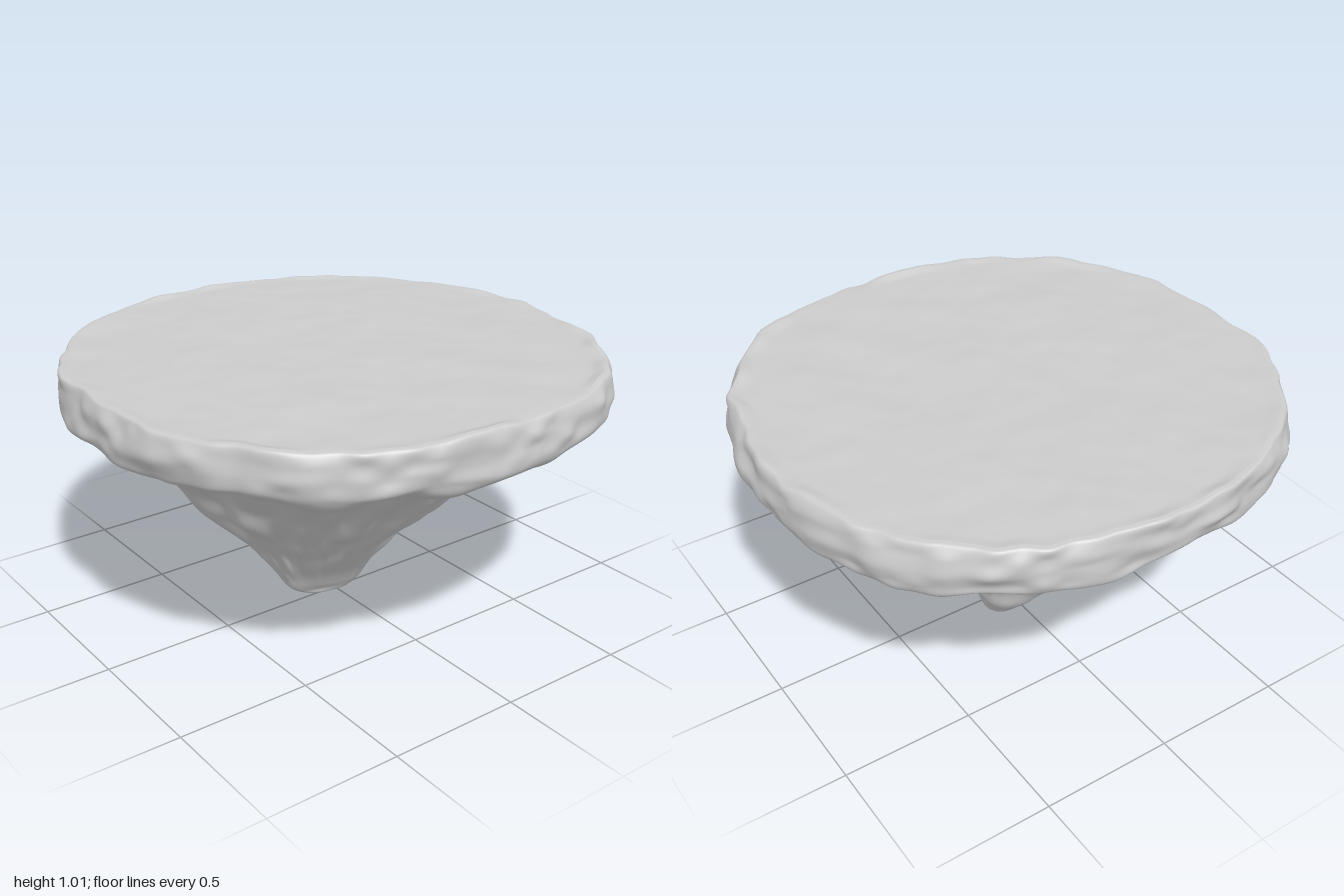
import * as THREE from 'three';

const material = new THREE.MeshStandardMaterial({ color: 0xcccccc });
const { lerp, smoothstep } = THREE.MathUtils;

// Seeded smooth value noise in -1..1; u repeats every `period` cells
const hash = (i, j, s) => {
  const h = Math.sin(i * 127.1 + j * 311.7 + s * 74.7) * 43758.5453;
  return (h - Math.floor(h)) * 2 - 1;
};
const ease = (t) => t * t * (3 - 2 * t);
function noise(u, v, seed, period = 1000) {
  const i = Math.floor(u), j = Math.floor(v), fu = ease(u - i), fv = ease(v - j);
  const at = (a, b) => hash(((a % period) + period) % period, b, seed);
  return lerp(lerp(at(i, j), at(i + 1, j), fu), lerp(at(i, j + 1), at(i + 1, j + 1), fu), fv);
}

// Closed-ring surface from point(t, angle)
function ringSurface(name, rings, sides, point) {
  const pos = [], index = [];
  for (let i = 0; i <= rings; i++)
    for (let j = 0; j < sides; j++) pos.push(...point(i / rings, (j / sides) * Math.PI * 2));
  for (let i = 0; i < rings; i++)
    for (let j = 0; j < sides; j++) {
      const a = i * sides + j, b = i * sides + ((j + 1) % sides), c = a + sides, d = b + sides;
      index.push(a, c, b, b, c, d);
    }
  const geometry = new THREE.BufferGeometry();
  geometry.setAttribute('position', new THREE.Float32BufferAttribute(pos, 3));
  geometry.setIndex(index);
  geometry.computeVertexNormals();
  const mesh = new THREE.Mesh(geometry, material);
  mesh.name = name;
  return mesh;
}

// Profile rows: height, then reach toward +x, -x, +z, -z
const profile = [
  [0, 0, 0, 0, 0],
  [0.01, 0.07, 0.11, 0.035, 0.06],
  [0.05, 0.125, 0.2, 0.07, 0.13],
  [0.12, 0.16, 0.25, 0.12, 0.21],
  [0.2, 0.195, 0.305, 0.185, 0.28],
  [0.3, 0.295, 0.38, 0.265, 0.36],
  [0.45, 0.445, 0.5, 0.4, 0.48],
  [0.6, 0.575, 0.635, 0.55, 0.605],
  [0.72, 0.69, 0.77, 0.7, 0.745],
  [0.785, 0.82, 0.87, 0.81, 0.855],
  [0.812, 0.925, 0.935, 0.905, 0.94],
  [0.845, 0.975, 0.975, 0.955, 0.97],
  [0.9, 0.987, 0.985, 0.97, 0.975],
  [0.96, 0.968, 0.978, 0.967, 0.972],
  [0.998, 0.945, 0.968, 0.955, 0.965],
  [1.004, 0.925, 0.948, 0.935, 0.945],
];
const curve = (x, z) =>
  new THREE.CatmullRomCurve3(profile.map((r) => new THREE.Vector3(r[x], r[0], r[z])), false, 'catmullrom', 0.5);
const positive = curve(1, 3), negative = curve(2, 4);

// Rock flank: downward ridges on the cone, short lumps on the rim
function flank(t, angle) {
  const p = positive.getPoint(t), n = negative.getPoint(t);
  const c = Math.cos(angle), s = Math.sin(angle), u = angle / (Math.PI * 2), y = p.y;
  const rim = smoothstep(y, 0.79, 0.86);
  const cone = smoothstep(y, 0.05, 0.5) * (1 - rim);
  const ridges = 0.026 * noise(u * 32 + y * 2, y * 4, 1, 32) + 0.012 * noise(u * 64, y * 9, 2, 64)
    + 0.014 * noise(u * 14, y * 4, 3, 14);
  const lumps = 0.014 * noise(u * 40, y * 14, 4, 40) + 0.008 * noise(u * 80, y * 22, 5, 80);
  const tip = 0.01 * noise(u * 7, y * 12, 6, 7) * smoothstep(y, 0.01, 0.1) * (1 - rim);
  // the tip bulges toward back left and is slimmer toward front right
  const toBack = (c - s) * Math.SQRT1_2;
  const low = smoothstep(y, 0, 0.04) * (1 - smoothstep(y, 0.08, 0.3));
  const knob = (0.065 * Math.max(0, toBack) ** 6 - 0.025 * Math.max(0, -toBack) ** 4) * low;
  const push = 0.85 * ridges * cone + lumps * rim + tip + knob;
  const sag = 0.02 * noise(u * 26, 0.5, 7, 26) * smoothstep(y, 0.65, 0.81) * (1 - smoothstep(y, 0.86, 0.97));
  const crest = 0.009 * noise(u * 50, 0.5, 8, 50) * smoothstep(y, 0.95, 1);
  // the rim is slightly fuller on its diagonals
  const full = 1 + 0.033 * Math.sin(2 * angle) ** 2 * smoothstep(y, 0.7, 0.86);
  return [
    c * ((c > 0 ? p.x : n.x) * full + push),
    y - 0.7 * ridges * cone + sag + crest,
    s * ((s > 0 ? p.z : n.z) * full + push),
  ];
}

// Gently uneven ground, joined to the rim
function ground(t, angle) {
  const [x, y, z] = flank(1, angle), k = 1 - t, px = x * k, pz = z * k;
  const bumps = 0.005 * noise(px * 5 + 50, pz * 5 + 50, 9) + 0.002 * noise(px * 12 + 50, pz * 12 + 50, 10);
  return [px, lerp(y, 1 + bumps, smoothstep(t, 0, 0.04)), pz];
}

export function createModel() {
  const group = new THREE.Group();
  group.name = 'floatingIsland';
  group.add(ringSurface('rockUnderside', 120, 360, flank));
  group.add(ringSurface('flatGround', 70, 360, ground));
  return group;
}
